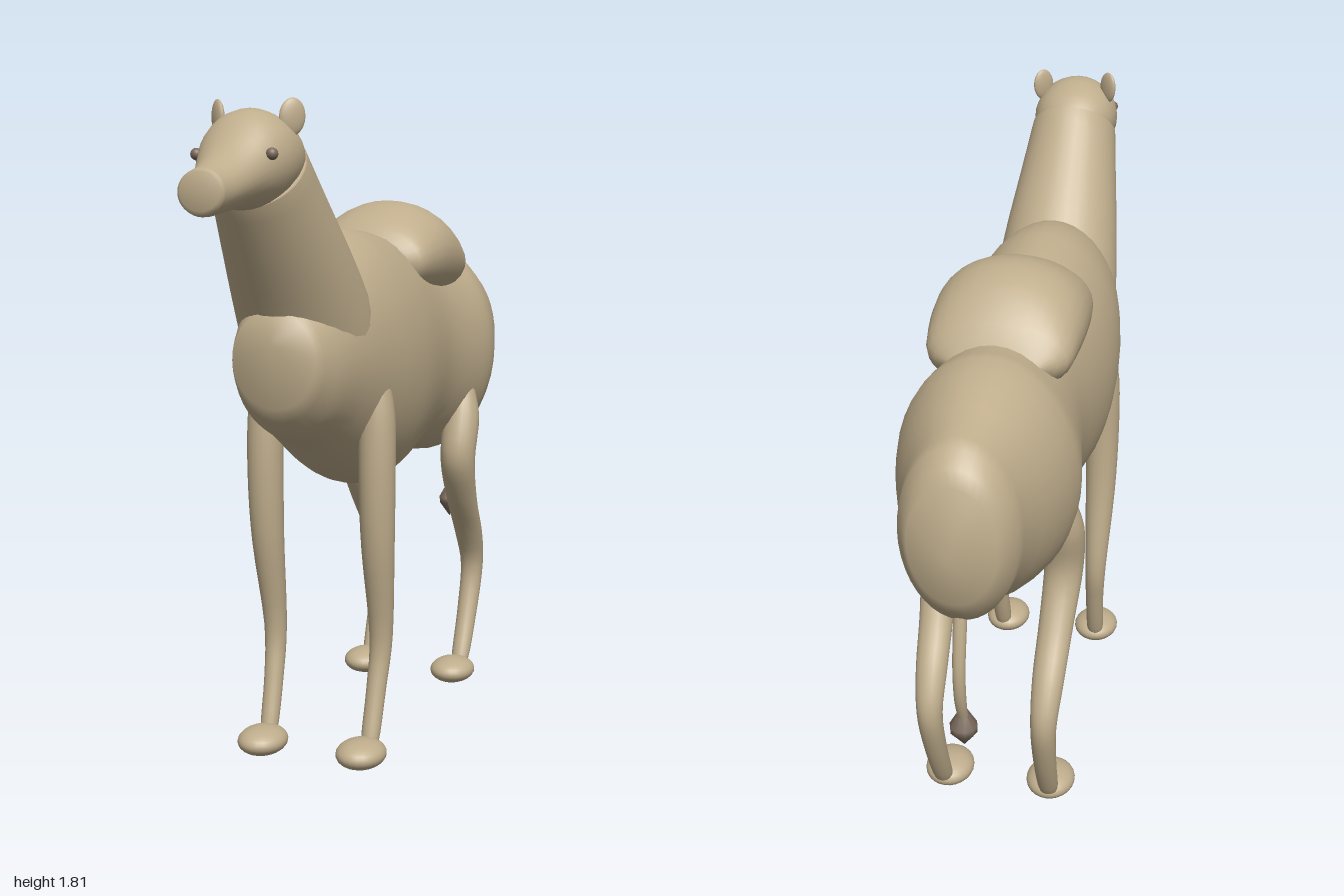
import * as THREE from 'three';
import { mergeVertices } from 'three/addons/utils/BufferGeometryUtils.js';

const hide = new THREE.MeshStandardMaterial({ color: 0xbfad8c });
hide.name = 'sand hide';
const dark = new THREE.MeshStandardMaterial({ color: 0x7a6a5c });
dark.name = 'dark brown';

// Catmull-Rom between rows of numbers
function refine(rows, k) {
  const out = [];
  for (let i = 0; i < rows.length - 1; i++) {
    const [a, b, c, d] = [rows[Math.max(i - 1, 0)], rows[i], rows[i + 1], rows[Math.min(i + 2, rows.length - 1)]];
    for (let s = 0; s < k; s++) {
      const t = s / k;
      out.push(b.map((_, n) => b[n] + 0.5 * t * (c[n] - a[n] + t * (2 * a[n] - 5 * b[n] + 4 * c[n] - d[n]
        + t * (3 * (b[n] - c[n]) + d[n] - a[n])))));
    }
  }
  out.push(rows[rows.length - 1]);
  return out;
}

// Skin over elliptical rings [x, y, z, half width, half depth, tilt about x]; a ring of size 0 closes an end
function loft(rings, n = 32) {
  const pos = [], idx = [];
  rings.forEach(([x, y, z, rx, rv, tilt], i) => {
    for (let j = 0; j < n; j++) {
      const angle = (j / n) * Math.PI * 2, v = rv * Math.sin(angle);
      pos.push(x + rx * Math.cos(angle), y + v * Math.cos(tilt), z + v * Math.sin(tilt));
      if (i === rings.length - 1) continue;
      const a = i * n + j, b = i * n + (j + 1) % n;
      idx.push(a, b, a + n, b, b + n, a + n);
    }
  });
  let g = new THREE.BufferGeometry();
  g.setAttribute('position', new THREE.Float32BufferAttribute(pos, 3));
  g.setIndex(idx);
  g = mergeVertices(g, 1e-5);
  g.computeVertexNormals();
  return g;
}

// Upright rings from [z, top, bottom, half width], listed from back to front
const upright = rows => rows.map(([z, t, b, w]) => [0, (t + b) / 2, z, w, (t - b) / 2, 0]);
// Level rings from [x, y, z, radius], listed from top to bottom
const level = rows => rows.map(([x, y, z, r]) => [x, y, z, r, r, Math.PI / 2]);

export function createModel() {
  const model = new THREE.Group();
  model.name = 'camel';
  const add = (name, geometry, material = hide) => {
    const m = new THREE.Mesh(geometry, material);
    m.name = name;
    model.add(m);
    return m;
  };
  const ball = (name, p, r, material) => {
    const m = add(name, new THREE.SphereGeometry(1, 24, 16), material);
    m.position.set(...p);
    m.scale.set(...r);
    return m;
  };

  // Trunk, from rump to chest, with pointed ends
  const trunk = upright([
    [-0.96, 1.25, 0.93, 0.112], [-0.9, 1.325, 0.85, 0.15],
    [-0.82, 1.345, 0.84, 0.163], [-0.7, 1.385, 0.785, 0.208], [-0.58, 1.415, 0.748, 0.24],
    [-0.5, 1.405, 0.752, 0.234], [-0.4, 1.405, 0.77, 0.216], [-0.28, 1.42, 0.785, 0.203],
    [-0.14, 1.445, 0.757, 0.216], [0, 1.47, 0.735, 0.233], [0.1, 1.48, 0.75, 0.235],
    [0.2, 1.485, 0.787, 0.228], [0.33, 1.46, 0.858, 0.204], [0.42, 1.41, 0.91, 0.18],
    [0.52, 1.34, 0.95, 0.15], [0.59, 1.285, 1.03, 0.118],
  ]);
  const tip = (y, z) => [0, y, z, 0, 0, 0];
  add('body', loft([tip(1.08, -1), ...refine(trunk, 2), tip(1.2, 0.62)], 40));

  // Hump
  add('hump', loft(refine(upright([
    [-0.5, 1.37, 1.33, 0.11], [-0.45, 1.45, 1.265, 0.183], [-0.36, 1.525, 1.24, 0.202],
    [-0.25, 1.553, 1.24, 0.206], [-0.13, 1.52, 1.255, 0.196], [-0.06, 1.47, 1.29, 0.172],
    [-0.03, 1.42, 1.34, 0.1],
  ]), 3)));

  // Neck, rising forward and closed at the top
  add('neck', loft([...refine([
    [0, 1.2, 0.355, 0.186, 0.175, -0.8], [0, 1.27, 0.4, 0.182, 0.172, -0.8],
    [0, 1.385, 0.483, 0.168, 0.158, -0.8], [0, 1.51, 0.578, 0.148, 0.144, -0.79],
    [0, 1.64, 0.675, 0.128, 0.13, -0.78],
  ], 3), [0, 1.641, 0.676, 0.124, 0.126, -0.78], [0, 1.641, 0.676, 0, 0, -0.78]]));

  // Head and muzzle
  add('head', loft(refine(upright([
    [0.56, 1.685, 1.685, 0], [0.57, 1.71, 1.65, 0.04], [0.6, 1.745, 1.6, 0.088], [0.65, 1.775, 1.57, 0.118],
    [0.72, 1.792, 1.548, 0.126], [0.78, 1.773, 1.545, 0.114], [0.83, 1.727, 1.55, 0.094],
    [0.88, 1.685, 1.545, 0.077], [0.94, 1.656, 1.537, 0.066], [0.98, 1.648, 1.534, 0.061],
    [0.994, 1.638, 1.547, 0.052], [1, 1.594, 1.594, 0],
  ]), 2)));

  // Paired parts
  for (const [side, s] of [['left', 1], ['right', -1]]) {
    const ear = ball(side + 'Ear', [s * 0.1, 1.77, 0.69], [0.034, 0.046, 0.012]);
    ear.rotation.set(0, s * 0.75, s * -0.1);
    ball(side + 'Eye', [s * 0.1, 1.68, 0.81], [0.015, 0.015, 0.015], dark);

    add(side + 'FrontLeg', loft(refine(level([
      [s * 0.165, 1.1, 0.275, 0.03], [s * 0.168, 0.98, 0.278, 0.049], [s * 0.168, 0.8, 0.282, 0.051],
      [s * 0.167, 0.6, 0.27, 0.046], [s * 0.163, 0.35, 0.233, 0.033], [s * 0.158, 0.2, 0.258, 0.028],
      [s * 0.155, 0.05, 0.303, 0.024], [s * 0.155, 0.048, 0.303, 0],
    ]), 4), 20));
    ball(side + 'FrontFoot', [s * 0.15, 0.041, 0.355], [0.07, 0.04, 0.083]);

    add(side + 'HindLeg', loft(refine(level([
      [s * 0.175, 1.0, -0.475, 0.025], [s * 0.178, 0.88, -0.449, 0.055], [s * 0.175, 0.74, -0.422, 0.054],
      [s * 0.168, 0.6, -0.492, 0.048], [s * 0.163, 0.47, -0.585, 0.044], [s * 0.16, 0.35, -0.634, 0.036],
      [s * 0.157, 0.2, -0.594, 0.032], [s * 0.155, 0.05, -0.525, 0.026], [s * 0.155, 0.048, -0.525, 0],
    ]), 4), 20));
    ball(side + 'HindFoot', [s * 0.15, 0.041, -0.465], [0.07, 0.04, 0.083]);
  }

  // Tail with a pointed tuft
  add('tail', loft(refine(level([
    [0, 0.95, -0.865, 0.018], [0, 0.85, -0.893, 0.018], [0, 0.72, -0.918, 0.017],
    [0, 0.62, -0.912, 0.016], [0, 0.54, -0.885, 0.013],
  ]), 4), 12));
  add('tailTuft', loft(level([
    [0, 0.575, -0.884, 0], [0, 0.57, -0.884, 0.009], [0, 0.52, -0.884, 0.037],
    [0, 0.502, -0.884, 0.036], [0, 0.455, -0.88, 0],
  ]), 10), dark);

  return model;
}
